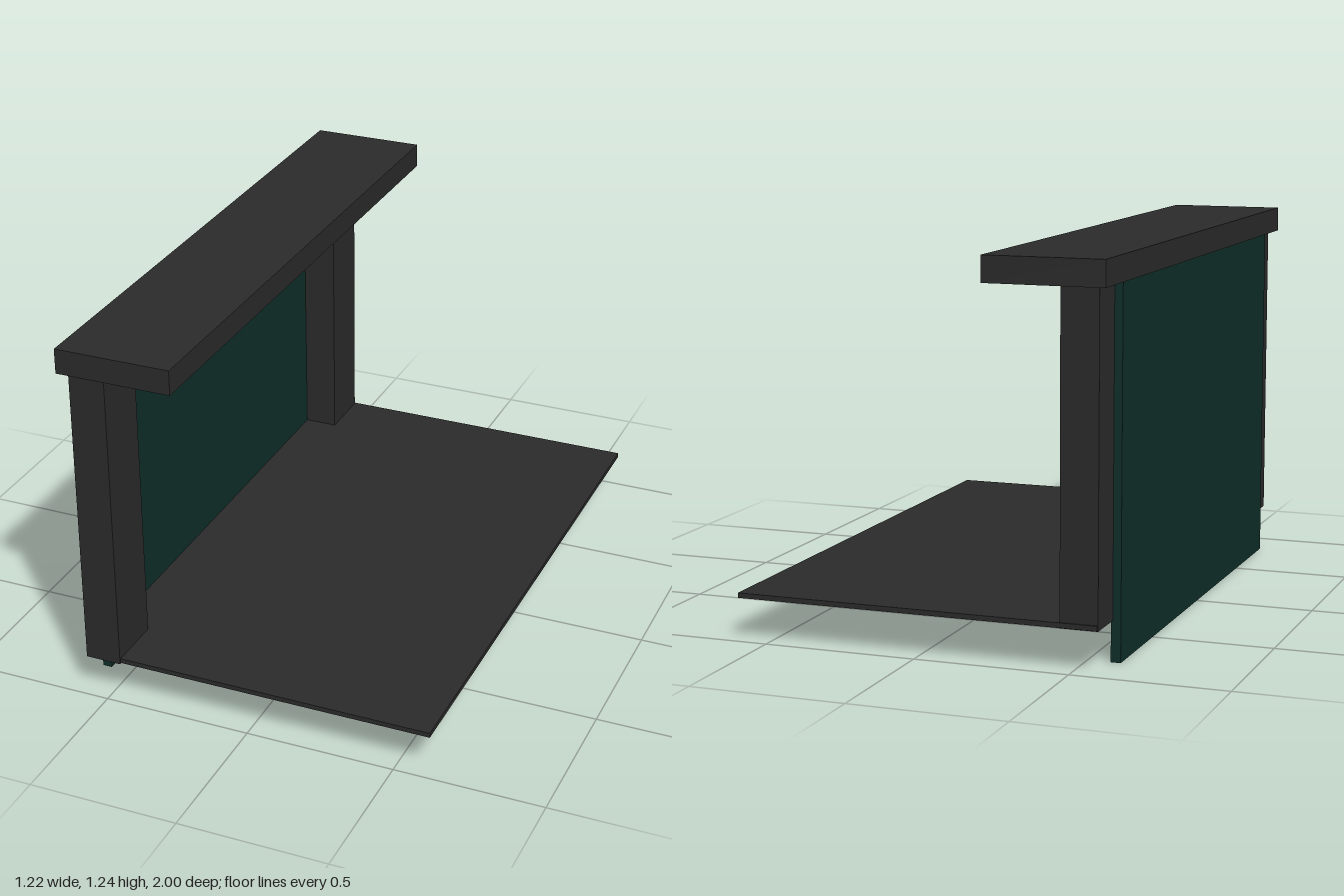
import * as THREE from 'three';

const dark = new THREE.MeshStandardMaterial({ color: 0x2a2a2a });
const green = new THREE.MeshStandardMaterial({ color: 0x0f2e28 });

// Box given by its extents along each axis
function slab(name, material, [x0, x1], [y0, y1], [z0, z1]) {
  const mesh = new THREE.Mesh(new THREE.BoxGeometry(x1 - x0, y1 - y0, z1 - z0), material);
  mesh.position.set((x0 + x1) / 2, (y0 + y1) / 2, (z0 + z1) / 2);
  mesh.name = name;
  return mesh;
}

export function createModel() {
  const model = new THREE.Group();
  model.name = 'canopyFrame';

  // Overhanging top beam, flush with the back
  model.add(slab('topBeam', dark, [-0.61, -0.223], [1.16, 1.243], [-1, 1]));

  // Upright back panel, reaching below the platform
  model.add(slab('backPanel', green, [-0.606, -0.574], [0, 1.16], [-0.825, 0.832]));

  // Thin platform
  model.add(slab('platform', dark, [-0.578, 0.61], [0.132, 0.148], [-0.97, 0.972]));

  // Posts at both ends, in front of the panel
  model.add(slab('frontPost', dark, [-0.58, -0.459], [0.13, 1.16], [0.78, 0.977]));
  model.add(slab('backPost', dark, [-0.58, -0.459], [0.13, 1.16], [-0.965, -0.768]));

  return model;
}
